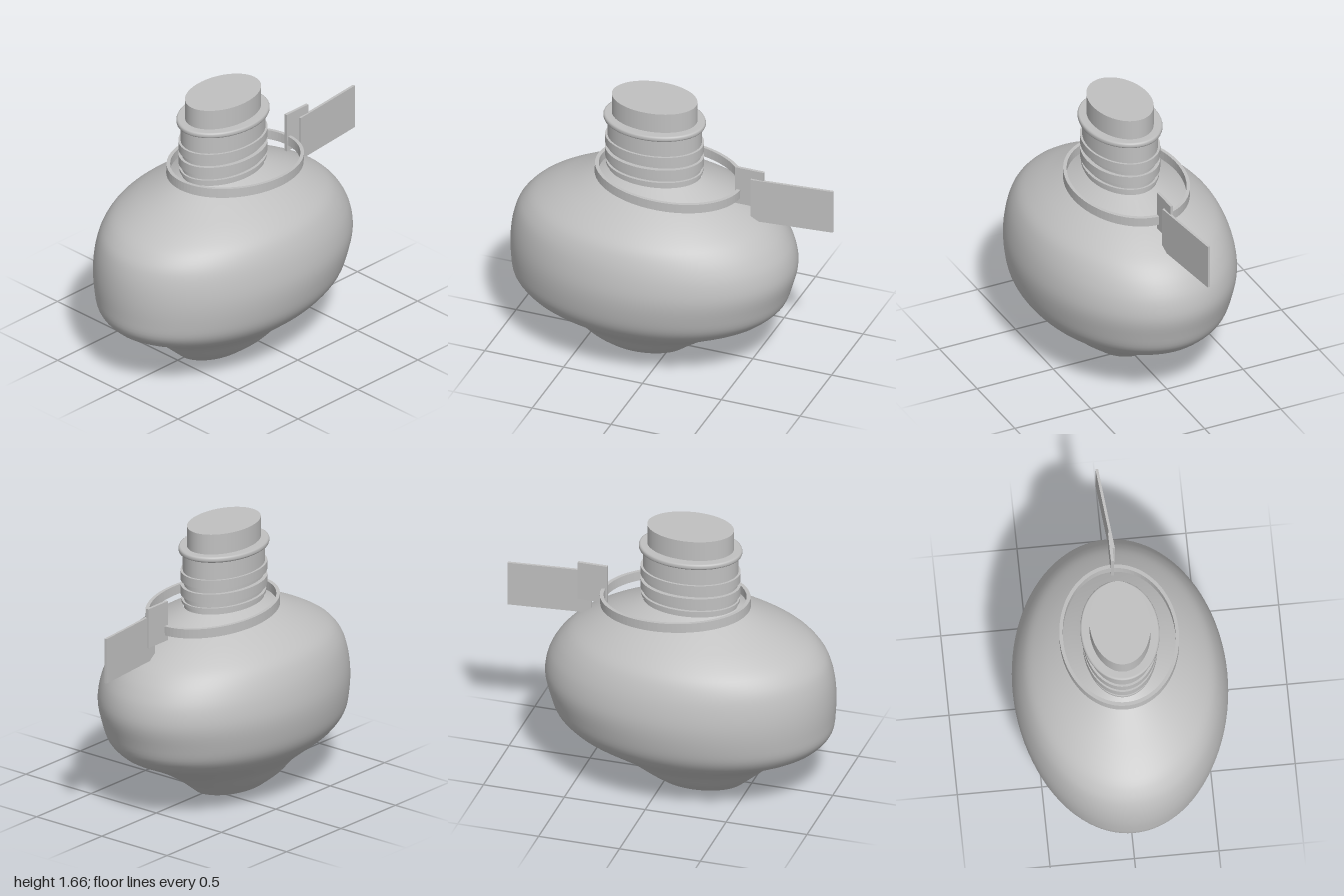
import * as THREE from 'three';

const grey = new THREE.MeshStandardMaterial({ color: 0xc0c0c0 });
grey.name = 'grey';
const NECK_Z = 0.122;

function addMesh(parent, name, geometry) {
  const mesh = new THREE.Mesh(geometry, grey);
  mesh.name = name;
  parent.add(mesh);
  return mesh;
}

// Upright elliptical disc between two heights
function ovalDisc(parent, name, rx, rz, y0, y1, open = false) {
  const g = new THREE.CylinderGeometry(1, 1, y1 - y0, 72, 1, open);
  g.scale(rx, 1, rz);
  return addMesh(parent, name, g).position.set(0, (y0 + y1) / 2, NECK_Z);
}

// Smooth loft through elliptical sections, with flat ends
function bodyGeometry() {
  // height, half width, front z, back z
  const rows = [
    [0, 0.18, 0.45, -0.08], [0.08, 0.28, 0.54, -0.18], [0.17, 0.36, 0.645, -0.32],
    [0.25, 0.455, 0.77, -0.47], [0.32, 0.535, 0.92, -0.61], [0.4, 0.59, 0.985, -0.69],
    [0.5, 0.62, 0.998, -0.725], [0.63, 0.635, 1.0, -0.755], [0.75, 0.622, 0.985, -0.735],
    [0.85, 0.593, 0.95, -0.68], [0.93, 0.55, 0.88, -0.605], [1.0, 0.475, 0.765, -0.5],
    [1.07, 0.37, 0.615, -0.37], [1.14, 0.245, 0.46, -0.22], [1.165, 0.2, 0.405, -0.165],
  ];
  const curve = (f) => new THREE.CatmullRomCurve3(rows.map(f));
  const width = curve((r) => new THREE.Vector3(r[1], r[0], 0));
  const depth = curve((r) => new THREE.Vector3(r[2], r[0], r[3]));
  const N = 96, M = 56, pos = [], idx = [];
  for (let j = 0; j <= M; j++) {
    const w = width.getPoint(j / M), d = depth.getPoint(j / M);
    for (let i = 0; i < N; i++) {
      const a = (i / N) * Math.PI * 2;
      pos.push(w.x * Math.sin(a), w.y, (d.x + d.z) / 2 + ((d.x - d.z) / 2) * Math.cos(a));
    }
  }
  for (let j = 0; j < M; j++) {
    for (let i = 0; i < N; i++) {
      const k = (i + 1) % N, a = j * N + i, b = j * N + k;
      idx.push(a, b, b + N, a, b + N, a + N);
    }
  }
  const g = new THREE.BufferGeometry();
  g.setAttribute('position', new THREE.Float32BufferAttribute(pos, 3));
  g.setIndex(idx);
  g.computeVertexNormals();
  return g;
}

// Flat oval strap, leaning down towards the back
function strapGeometry() {
  const shape = new THREE.Shape();
  shape.absellipse(0, 0, 0.352, 0.453, 0, Math.PI * 2);
  const hole = new THREE.Path();
  hole.absellipse(0, 0, 0.332, 0.43, 0, Math.PI * 2, true);
  shape.holes.push(hole);
  const g = new THREE.ExtrudeGeometry(shape, { depth: 0.058, bevelEnabled: false, curveSegments: 48 });
  g.translate(0, 0, -0.029);
  g.rotateX(-Math.PI / 2);
  return g;
}

export function createModel() {
  const model = new THREE.Group();
  model.name = 'bottle';

  addMesh(model, 'body', bodyGeometry());
  const base = new THREE.CircleGeometry(1, 96);
  base.scale(0.18, 0.265, 1);
  base.rotateX(Math.PI / 2);
  addMesh(model, 'base', base).position.set(0, 0, 0.185);

  // Neck, built as a stack of oval collars
  const neck = new THREE.Group();
  neck.name = 'neck';
  model.add(neck);
  ovalDisc(neck, 'neckCore', 0.192, 0.285, 1.12, 1.4);
  ovalDisc(neck, 'lowerThread', 0.21, 0.297, 1.19, 1.207);
  ovalDisc(neck, 'middleThread', 0.218, 0.302, 1.24, 1.297);
  ovalDisc(neck, 'upperThread', 0.218, 0.302, 1.33, 1.385);
  ovalDisc(neck, 'upperNeck', 0.205, 0.288, 1.385, 1.505);
  ovalDisc(neck, 'stopper', 0.18, 0.262, 1.52, 1.66);

  // Lip with softened edges
  const lip = new THREE.LatheGeometry([
    [0, 1.498], [0.96, 1.498], [0.99, 1.503], [1, 1.511], [1, 1.522], [0.99, 1.53], [0.96, 1.535], [0, 1.535],
  ].map(([r, y]) => new THREE.Vector2(r, y)), 72);
  lip.scale(0.233, 1, 0.312);
  addMesh(neck, 'lip', lip).position.z = NECK_Z;

  // Loose strap with its tag plates
  const strap = addMesh(model, 'strap', strapGeometry());
  strap.position.set(0.005, 1.15, 0.026);
  strap.rotation.x = -0.05;
  addMesh(model, 'strapTab', new THREE.BoxGeometry(0.018, 0.245, 0.18)).position.set(0.006, 1.183, -0.485);
  const tag = addMesh(model, 'tag', new THREE.BoxGeometry(0.016, 0.28, 0.505));
  tag.position.set(-0.003, 1.11, -0.748);
  tag.rotation.y = 0.1;

  return model;
}
